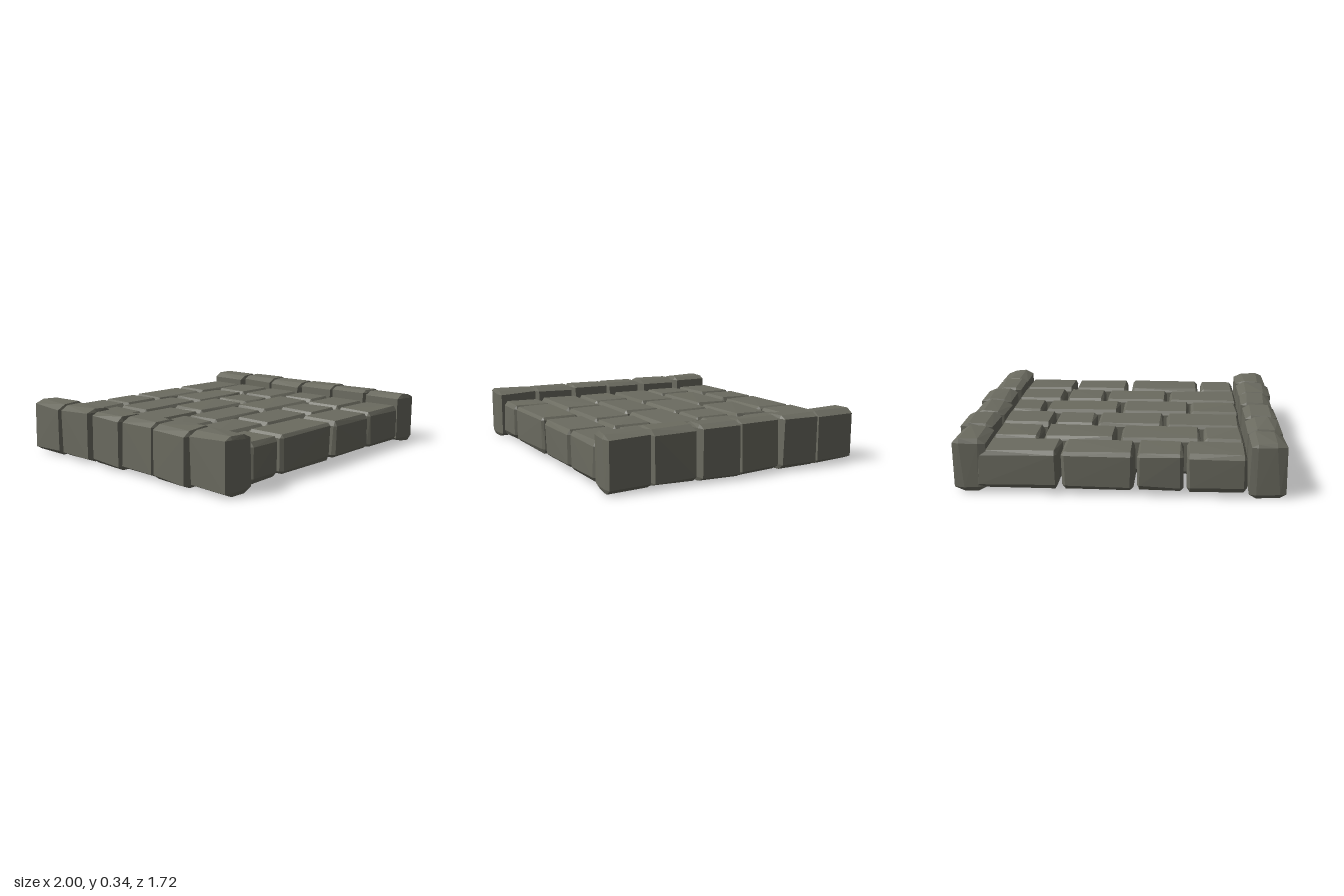
import * as THREE from 'three';
import { ConvexGeometry } from 'three/addons/geometries/ConvexGeometry.js';

const stoneMaterial = new THREE.MeshStandardMaterial({ color: 0x6b6b60, flatShading: true });

// small seeded generator for the hand-cut irregularity
function makeRandom(seed) {
  let s = seed;
  return () => {
    s = (s * 16807) % 2147483647;
    return s / 2147483647;
  };
}

// chamfered block between min and max, each corner worn by a slightly different amount
function stone(name, min, max, bevel, wear, random) {
  const points = [];
  for (const sx of [0, 1]) for (const sy of [0, 1]) for (const sz of [0, 1]) {
    const side = [sx, sy, sz];
    const corner = side.map((s, i) => (s ? max[i] - random() * wear[i] : min[i] + random() * wear[i]));
    const cut = bevel.map((b) => b * (0.7 + 0.6 * random()));
    const inset = side.map((s, i) => corner[i] + (s ? -cut[i] : cut[i]));
    // one point on each of the three faces that meet here
    for (let axis = 0; axis < 3; axis++) {
      const p = inset.slice();
      p[axis] = corner[axis];
      points.push(new THREE.Vector3(...p));
    }
  }
  const mesh = new THREE.Mesh(new ConvexGeometry(points), stoneMaterial);
  mesh.name = name;
  return mesh;
}

export function createModel() {
  const model = new THREE.Group();
  model.name = 'stonePath';
  const random = makeRandom(4711);

  // paving rows, back to front: z range and the x ranges of the stones
  const rows = [
    { z: [-0.86, -0.59], x: [[-0.755, -0.4], [-0.39, -0.11], [-0.095, 0.335], [0.35, 0.84]] },
    { z: [-0.575, -0.305], x: [[-0.755, -0.505], [-0.49, 0.01], [0.035, 0.485], [0.5, 0.795]] },
    { z: [-0.295, -0.02], x: [[-0.755, -0.27], [-0.255, 0.175], [0.19, 0.455], [0.47, 0.8]] },
    { z: [-0.005, 0.265], x: [[-0.755, -0.43], [-0.42, 0.03], [0.055, 0.56], [0.575, 0.795]] },
    { z: [0.28, 0.555], x: [[-0.755, -0.28], [-0.265, 0.165], [0.185, 0.455], [0.47, 0.8]] },
    { z: [0.57, 0.84], x: [[-0.755, -0.51], [-0.495, 0.005], [0.035, 0.42], [0.43, 0.79]] },
  ];
  const paving = new THREE.Group();
  paving.name = 'paving';
  for (const { z, x } of rows) {
    for (const [x0, x1] of x) {
      paving.add(stone('pavingStone', [x0, 0.03, z[0]], [x1, 0.27, z[1]],
        [0.018, 0.025, 0.02], [0.008, 0.006, 0.008], random));
    }
  }
  model.add(paving);

  // raised kerbs along both sides: [x0, x1, z0, z1] per stone
  const kerbs = {
    rightKerb: [
      [-0.985, -0.765, -0.855, -0.585], [-0.98, -0.765, -0.575, -0.29], [-0.98, -0.77, -0.265, 0],
      [-0.98, -0.765, 0.005, 0.285], [-1, -0.765, 0.29, 0.575], [-0.985, -0.765, 0.575, 0.86],
    ],
    leftKerb: [
      [0.775, 0.975, -0.86, -0.57], [0.79, 1, -0.56, -0.285], [0.775, 0.98, -0.285, 0],
      [0.79, 1, 0.005, 0.28], [0.775, 0.98, 0.285, 0.575], [0.78, 0.975, 0.57, 0.85],
    ],
  };
  for (const [name, stones] of Object.entries(kerbs)) {
    const kerb = new THREE.Group();
    kerb.name = name;
    for (const [x0, x1, z0, z1] of stones) {
      kerb.add(stone('kerbStone', [x0, 0, z0], [x1, 0.34, z1],
        [0.05, 0.025, 0.01], [0.008, 0.012, 0.008], random));
    }
    model.add(kerb);
  }
  return model;
}
